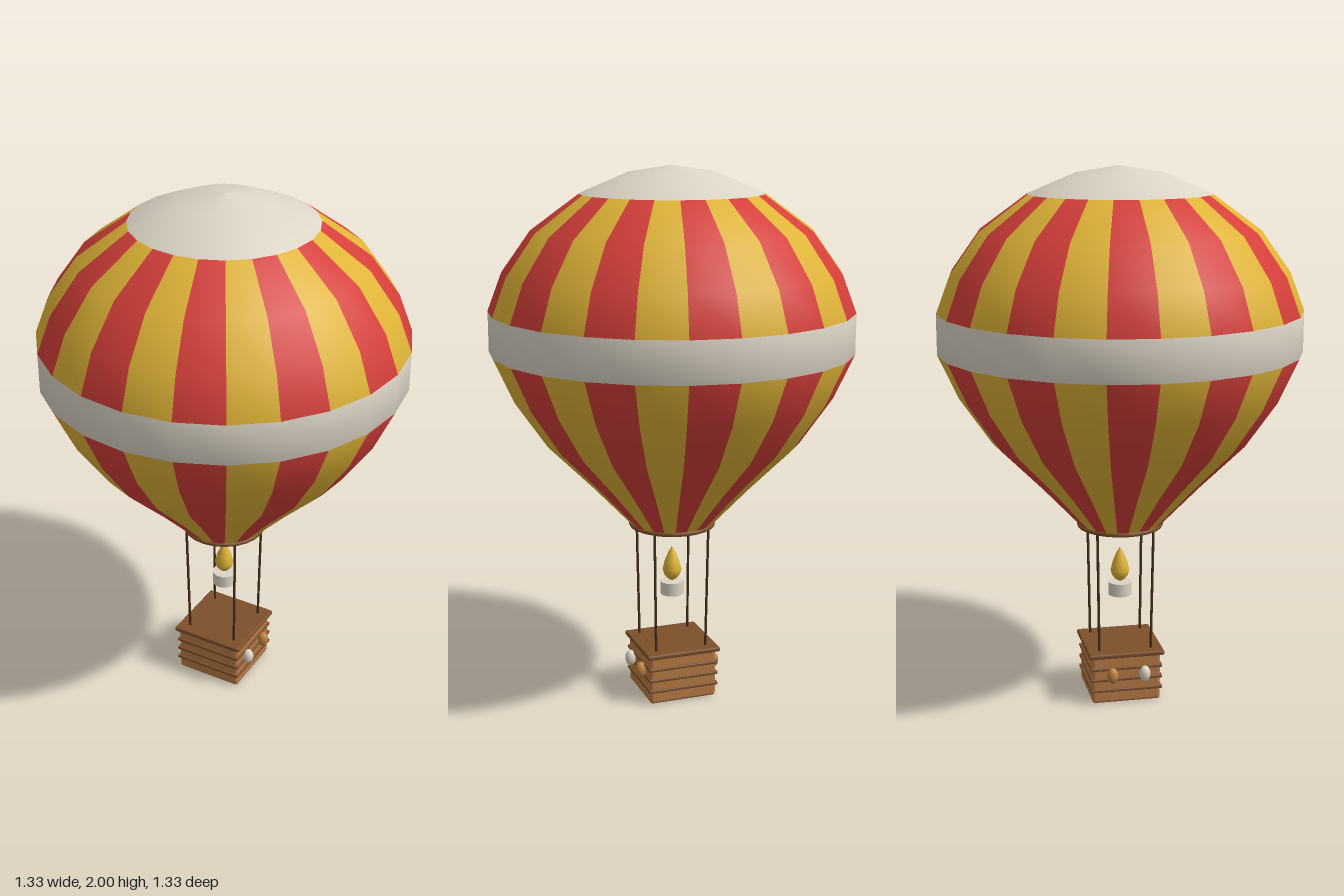
import * as THREE from 'three';
import { RoundedBoxGeometry } from 'three/addons/geometries/RoundedBoxGeometry.js';

const paint = (name, color) => {
  const m = new THREE.MeshStandardMaterial({ color });
  m.name = name;
  return m;
};

export function createModel() {
  const red = paint('red cloth', 0xd63f3a);
  const yellow = paint('yellow cloth', 0xe0b437);
  const cream = paint('cream cloth', 0xdcd4c5);
  const wicker = paint('wicker', 0xb87a45);
  const wood = paint('dark wood', 0x7d4f2a);
  const rope = paint('rope', 0x442f1b);
  const tan = paint('tan sack', 0xc0803f);

  const model = new THREE.Group();
  model.name = 'hotAirBalloon';
  const add = (name, geometry, material, x = 0, y = 0, z = 0) => {
    const mesh = new THREE.Mesh(geometry, material);
    mesh.name = name;
    mesh.position.set(x, y, z);
    model.add(mesh);
    return mesh;
  };
  const points = (list) => list.map(([r, y]) => new THREE.Vector2(r, y));

  // Envelope: one smooth lathe whose faces are sorted into coloured gores, belt and crown
  const GORES = 24;
  const profile = points([
    [0.155, 0.675], [0.307, 0.836], [0.476, 1.005], [0.593, 1.175], [0.667, 1.337],
    [0.667, 1.485], [0.614, 1.624], [0.508, 1.772], [0.333, 1.9], [0.16, 1.974], [0, 2],
  ]);
  const envelope = new THREE.LatheGeometry(profile, GORES);
  const faces = [[], [], []];
  const rows = profile.length;
  for (let i = 0; i < GORES; i++) {
    for (let j = 0; j < rows - 1; j++) {
      const a = i * rows + j, b = a + rows;
      const plain = j === 4 || j >= 8;
      faces[plain ? 2 : i % 2].push(a, b, a + 1);
      if (j < rows - 2) faces[plain ? 2 : i % 2].push(b + 1, a + 1, b);
    }
  }
  envelope.setIndex(faces.flat());
  let start = 0;
  faces.forEach((list, k) => {
    envelope.addGroup(start, list.length, k);
    start += list.length;
  });
  add('envelope', envelope, [yellow, red, cream]);

  // Striped underside closing the mouth
  const mouth = new THREE.CircleGeometry(0.155, GORES);
  mouth.rotateX(Math.PI / 2);
  for (let i = 0; i < GORES; i++) mouth.addGroup(i * 3, 3, i % 2);
  add('mouth', mouth, [red, yellow], 0, 0.675, 0);

  const ring = new THREE.TorusGeometry(0.153, 0.01, 8, GORES);
  ring.rotateX(Math.PI / 2);
  add('mouthRing', ring, wood, 0, 0.672, 0);

  // Burner and flame
  add('burner', new THREE.CylinderGeometry(0.045, 0.045, 0.05, 16), cream, 0, 0.415, 0);
  const flame = points([
    [0, 0.44], [0.018, 0.451], [0.031, 0.467], [0.036, 0.487], [0.028, 0.52], [0.013, 0.556], [0, 0.578],
  ]);
  add('flame', new THREE.LatheGeometry(flame, 16), yellow);

  // Basket with raised bands and a lid-like rim
  add('basket', new RoundedBoxGeometry(0.262, 0.19, 0.262, 2, 0.012), wicker, 0, 0.097, 0);
  for (const y of [0.053, 0.096, 0.139]) {
    add('basketBand', new RoundedBoxGeometry(0.274, 0.012, 0.274, 1, 0.004), wood, 0, y, 0);
  }
  add('basketRim', new RoundedBoxGeometry(0.288, 0.018, 0.288, 2, 0.006), wood, 0, 0.193, 0);

  for (const sx of [-1, 1]) {
    // Corner ropes
    for (const sz of [-1, 1]) {
      const path = new THREE.LineCurve3(
        new THREE.Vector3(sx * 0.099, 0.19, sz * 0.099),
        new THREE.Vector3(sx * 0.106, 0.675, sz * 0.106),
      );
      add('rope', new THREE.TubeGeometry(path, 1, 0.005, 8), rope);
    }
    // Sandbags on both sides
    for (const [z, material] of [[0.067, cream], [-0.057, tan]]) {
      const bag = add('sandbag', new THREE.SphereGeometry(1, 14, 10), material, sx * 0.147, 0.118, z);
      bag.scale.set(0.021, 0.031, 0.021);
    }
  }
  return model;
}
